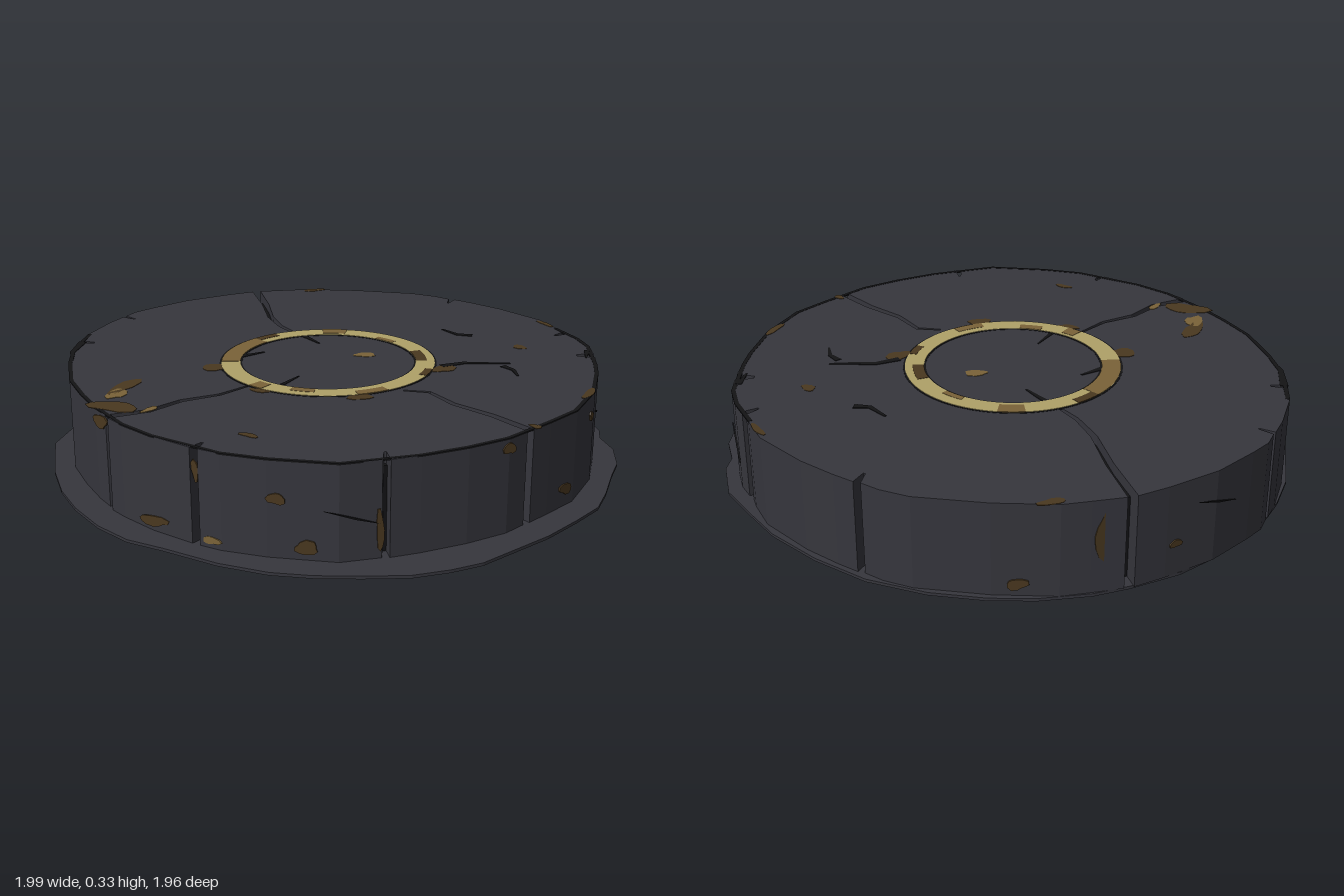
import * as THREE from 'three';

const paint = (name, color) => Object.assign(new THREE.MeshStandardMaterial({ color }), { name });
const stone = paint('charcoal stone', 0x36363d);
const dark = paint('crack black', 0x131315);
const gold = paint('pale gold', 0xb0a268);
const tan = paint('worn tan', 0x7a6338);
const brown = paint('brown stain', 0x4a381f);

const TOP = 0.322;
const RING = [-0.025, -0.015];

// Outlines as [x, z], clockwise seen from above
const skirtLine = [
  [-0.05, -0.98], [0.15, -0.96], [0.35, -0.91], [0.5, -0.84], [0.64, -0.77], [0.75, -0.65], [0.78, -0.58],
  [0.86, -0.5], [0.92, -0.38], [0.94, -0.28], [0.98, -0.12], [1, 0], [0.98, 0.13], [0.95, 0.28], [0.9, 0.43],
  [0.86, 0.55], [0.8, 0.64], [0.72, 0.73], [0.6, 0.81], [0.48, 0.88], [0.36, 0.93], [0.2, 0.96], [0, 0.965],
  [-0.13, 0.975], [-0.27, 0.945], [-0.42, 0.88], [-0.55, 0.8], [-0.68, 0.69], [-0.78, 0.58], [-0.86, 0.49],
  [-0.9, 0.37], [-0.96, 0.2], [-0.98, 0.05], [-0.98, -0.05], [-0.96, -0.2], [-0.92, -0.35], [-0.86, -0.49],
  [-0.76, -0.63], [-0.68, -0.72], [-0.55, -0.82], [-0.42, -0.89], [-0.25, -0.95]];
const stoneLine = [
  [0.07, -0.95], [0.2, -0.93], [0.4, -0.87], [0.5, -0.8], [0.62, -0.72], [0.69, -0.65], [0.79, -0.47], [0.83, -0.38],
  [0.89, -0.2], [0.91, 0], [0.88, 0.14], [0.83, 0.33], [0.76, 0.46], [0.67, 0.59], [0.5, 0.77], [0.3, 0.85],
  [0.16, 0.885], [-0.1, 0.88], [-0.24, 0.85], [-0.4, 0.78], [-0.52, 0.71], [-0.65, 0.62], [-0.78, 0.48],
  [-0.87, 0.36], [-0.95, 0.18], [-0.98, 0.02], [-0.99, -0.14], [-0.97, -0.22], [-0.92, -0.38], [-0.83, -0.54],
  [-0.67, -0.72], [-0.6, -0.78], [-0.42, -0.87], [-0.2, -0.95], [-0.1, -0.96]];

// Slits cut into the slab: half width, then the path from rim to tip
const slits = [
  [0.016, [-0.76, -0.64], [-0.62, -0.5], [-0.5, -0.36], [-0.4, -0.28], [-0.28, -0.22]],
  [0.015, [-0.32, 0.82], [-0.24, 0.71], [-0.21, 0.58], [-0.14, 0.47], [-0.11, 0.35]],
  [0.014, [0.855, 0.235], [0.7, 0.18], [0.55, 0.15], [0.43, 0.09], [0.35, 0.12]],
  [0.014, [0.07, 0.89], [0.068, 0.84]],
  [0.012, [0.6, 0.67], [0.565, 0.62]],
  [0.025, [0.745, -0.56], [0.69, -0.53]],
  [0.013, [0.55, -0.76], [0.53, -0.71]],
  [0.012, [-0.02, -0.955], [-0.01, -0.9]],
  [0.013, [-0.915, 0.27], [-0.86, 0.25]],
  [0.008, [-0.985, -0.07], [-0.93, -0.065]]];

const angle = ([x, z]) => Math.atan2(z, x);
const shapeOf = pts => new THREE.Shape(pts.map(([x, z]) => new THREE.Vector2(x, -z)));
const scaled = (pts, s) => pts.map(([x, z]) => [x * s, z * s]);

function slab(name, shape, bottom, height, material) {
  const g = new THREE.ExtrudeGeometry(shape, { depth: height, bevelEnabled: false, curveSegments: 40 });
  g.rotateX(-Math.PI / 2).translate(0, bottom, 0);
  const mesh = new THREE.Mesh(g, material);
  mesh.name = name;
  return mesh;
}

// Both sides of a path; the width tapers towards the tip
function sides(path, half) {
  const a = [], b = [];
  path.forEach(([x, z], i) => {
    const p = path[Math.max(0, i - 1)], q = path[Math.min(path.length - 1, i + 1)];
    const dx = q[0] - p[0], dz = q[1] - p[1], l = Math.hypot(dx, dz);
    const w = half * (1 - 0.7 * i / (path.length - 1));
    a.push([x - w * dz / l, z + w * dx / l]);
    b.unshift([x + w * dz / l, z - w * dx / l]);
  });
  return [...a, ...b];
}

function slitOutline() {
  const parts = stoneLine.map(p => ({ a: angle(p), pts: [p] }));
  slits.forEach(([w, ...path]) => parts.push({ a: angle(path[0]), pts: sides(path, w) }));
  return parts.sort((p, q) => p.a - q.a).flatMap(p => p.pts);
}

function annulus(name, outer, inner, y, h, material) {
  const s = new THREE.Shape().absarc(RING[0], -RING[1], outer, 0, Math.PI * 2);
  s.holes.push(new THREE.Path().absarc(RING[0], -RING[1], inner, 0, Math.PI * 2, true));
  return slab(name, s, y, h, material);
}

// Irregular rounded spot
function blob(rx, ry, turn, seed) {
  const pts = [];
  for (let i = 0; i < 12; i++) {
    const t = i / 12 * Math.PI * 2, k = 1 + 0.2 * Math.sin(2 * t + seed) + 0.13 * Math.sin(3 * t + seed * 2);
    const x = Math.cos(t) * rx * k, y = Math.sin(t) * ry * k;
    pts.push(new THREE.Vector2(x * Math.cos(turn) - y * Math.sin(turn), x * Math.sin(turn) + y * Math.cos(turn)));
  }
  return new THREE.Shape(pts);
}

// Thin plate lying on the side wall at a given direction and height
function onWall(name, shape, dir, y, material) {
  const n = stoneLine.length;
  for (let i = 0; i < n; i++) {
    const [ax, az] = stoneLine[i], [bx, bz] = stoneLine[(i + 1) % n];
    const ex = bx - ax, ez = bz - az, cx = Math.cos(dir), cz = Math.sin(dir);
    const t = (az * cx - ax * cz) / (ex * cz - ez * cx);
    const px = ax + t * ex, pz = az + t * ez;
    if (t < 0 || t >= 1 || px * cx + pz * cz < 0) continue;
    const mesh = new THREE.Mesh(new THREE.ExtrudeGeometry(shape, { depth: 0.005, bevelEnabled: false }), material);
    mesh.position.set(px, y, pz);
    mesh.rotation.y = Math.atan2(ez, -ex);
    mesh.rotation.y = Math.atan2(ez, -ex);
    const normal = Math.atan2(ez, -ex);
    if (Math.sin(normal) * px + Math.cos(normal) * pz < 0) mesh.rotation.y += Math.PI;
    mesh.name = name;
    return mesh;
  }
  return new THREE.Group();
}

export function createModel() {
  const model = new THREE.Group();

  // Ground skirt, dark core seen through the cracks, and the split slab
  model.add(slab('groundSkirt', shapeOf(skirtLine), 0, 0.01, stone));
  model.add(slab('crackCore', shapeOf(scaled(stoneLine, 0.955)), 0.01, 0.275, dark));
  model.add(slab('stoneSlab', shapeOf(slitOutline()), 0.01, TOP - 0.01, stone));

  // Dark worn edge around the right and front of the top
  const arc = stoneLine.slice(3, 25);
  const edge = slab('wornEdge', shapeOf([...scaled(arc, 1.001), ...scaled(arc, 0.986).reverse()]), TOP - 0.004, 0.005, dark);
  model.add(edge);

  // Inlaid ring with dark seams
  model.add(annulus('ringSeam', 0.378, 0.3, TOP - 0.002, 0.003, dark));
  model.add(annulus('goldRing', 0.372, 0.306, TOP - 0.002, 0.0045, gold));

  // Tarnished stretches of the ring: start, end, inner and outer radius
  [[2.55, 3.35, 0.306, 0.372, tan], [3.35, 3.6, 0.34, 0.372, brown], [4.1, 4.35, 0.32, 0.372, tan],
    [4.75, 5.0, 0.306, 0.33, tan], [5.4, 5.75, 0.306, 0.345, brown], [0.45, 0.75, 0.335, 0.372, tan],
    [1.15, 1.4, 0.306, 0.34, tan], [6.0, 6.2, 0.345, 0.372, brown], [1.65, 1.8, 0.32, 0.372, tan]]
    .forEach(([a, b, r0, r1, m]) => {
      const pts = [];
      for (let i = 0; i <= 8; i++) {
        const t = a + (b - a) * i / 8;
        pts.push([RING[0] + r1 * Math.cos(t), RING[1] + r1 * Math.sin(t)]);
        pts.unshift([RING[0] + r0 * Math.cos(t), RING[1] + r0 * Math.sin(t)]);
      }
      model.add(slab('ringTarnish', shapeOf(pts), TOP, 0.0035, m));
    });

  // Fine surface cracks and chips
  [[0.014, [0.34, -0.17], [0.39, -0.24], [0.48, -0.29], [0.53, -0.32]],
    [0.012, [0.52, -0.28], [0.57, -0.26], [0.61, -0.21]],
    [0.012, [-0.29, -0.23], [-0.22, -0.2], [-0.16, -0.17]],
    [0.008, [-0.02, 0.28], [-0.02, 0.18]],
    [0.014, [0.27, -0.55], [0.22, -0.53], [0.14, -0.56]],
    [0.014, [-0.9, 0.27], [-0.85, 0.38], [-0.79, 0.45]],
    [0.01, [0.7, -0.6], [0.73, -0.52]],
    [0.012, [-0.31, 0.1], [-0.27, 0.02]]]
    .forEach(([w, ...path]) => model.add(slab('surfaceCrack', shapeOf(sides(path, w).reverse()), TOP - 0.002, 0.004, dark)));

  // Stains on top: x, z, radii, turn, colour
  [[-0.455, 0.57, 0.03, 0.085, 0.2, brown], [-0.43, 0.64, 0.028, 0.055, 0.4, tan], [-0.36, 0.74, 0.075, 0.05, 0.3, brown],
    [-0.245, 0.7, 0.014, 0.035, -0.3, tan], [0.48, -0.51, 0.03, 0.018, 0, brown], [0.05, -0.14, 0.045, 0.02, 0.5, tan],
    [-0.315, 0.25, 0.045, 0.04, 0, brown], [0.36, -0.15, 0.03, 0.05, 0, brown], [0.15, 0.72, 0.03, 0.016, 0, brown],
    [0.855, 0.2, 0.02, 0.015, 0, brown], [0.88, -0.17, 0.016, 0.05, 0, brown], [0.26, 0.25, 0.05, 0.025, 0.7, brown],
    [-0.05, 0.37, 0.04, 0.015, 0, brown], [-0.57, -0.78, 0.04, 0.018, 0.7, brown], [0.44, -0.83, 0.04, 0.014, -0.5, brown]]
    .forEach(([x, z, rx, rz, turn, m], i) => {
      const spot = slab('topStain', blob(rx, rz, turn, i), 0, 0.0025, m);
      spot.position.set(x, TOP - 0.001, z);
      model.add(spot);
    });

  // Stains on the wall: direction, height, radii, colour
  [[1.68, 0.045, 0.055, 0.018, brown], [1.43, 0.035, 0.03, 0.014, tan], [1.2, 0.2, 0.025, 0.02, brown],
    [1.49, 0.25, 0.012, 0.035, brown], [0.86, 0.1, 0.013, 0.06, brown], [1.1, 0.05, 0.04, 0.02, brown],
    [2.0, 0.29, 0.05, 0.022, brown], [2.75, 0.05, 0.03, 0.02, brown], [0.38, 0.29, 0.02, 0.02, brown],
    [0.05, 0.07, 0.03, 0.02, brown], [-0.18, 0.25, 0.02, 0.015, brown], [-0.59, 0.25, 0.012, 0.05, brown],
    [-2.36, 0.2, 0.03, 0.075, brown], [-2.1, 0.05, 0.03, 0.02, brown], [-2.6, 0.12, 0.02, 0.014, brown]]
    .forEach(([dir, y, rx, ry, m], i) => model.add(onWall('wallStain', blob(rx, ry, 0, i), dir, y, m)));

  // Gouges on the wall
  const gouge = new THREE.Shape([[-0.09, 0.03], [-0.02, 0.008], [0.09, -0.03], [0.01, -0.008]].map(p => new THREE.Vector2(...p)).reverse());
  [[-0.36, 0.21], [0.95, 0.15], [-2.75, 0.22], [-0.8, 0.15]]
    .forEach(([dir, y]) => model.add(onWall('wallGouge', gouge, dir, y, dark)));

  return model;
}
